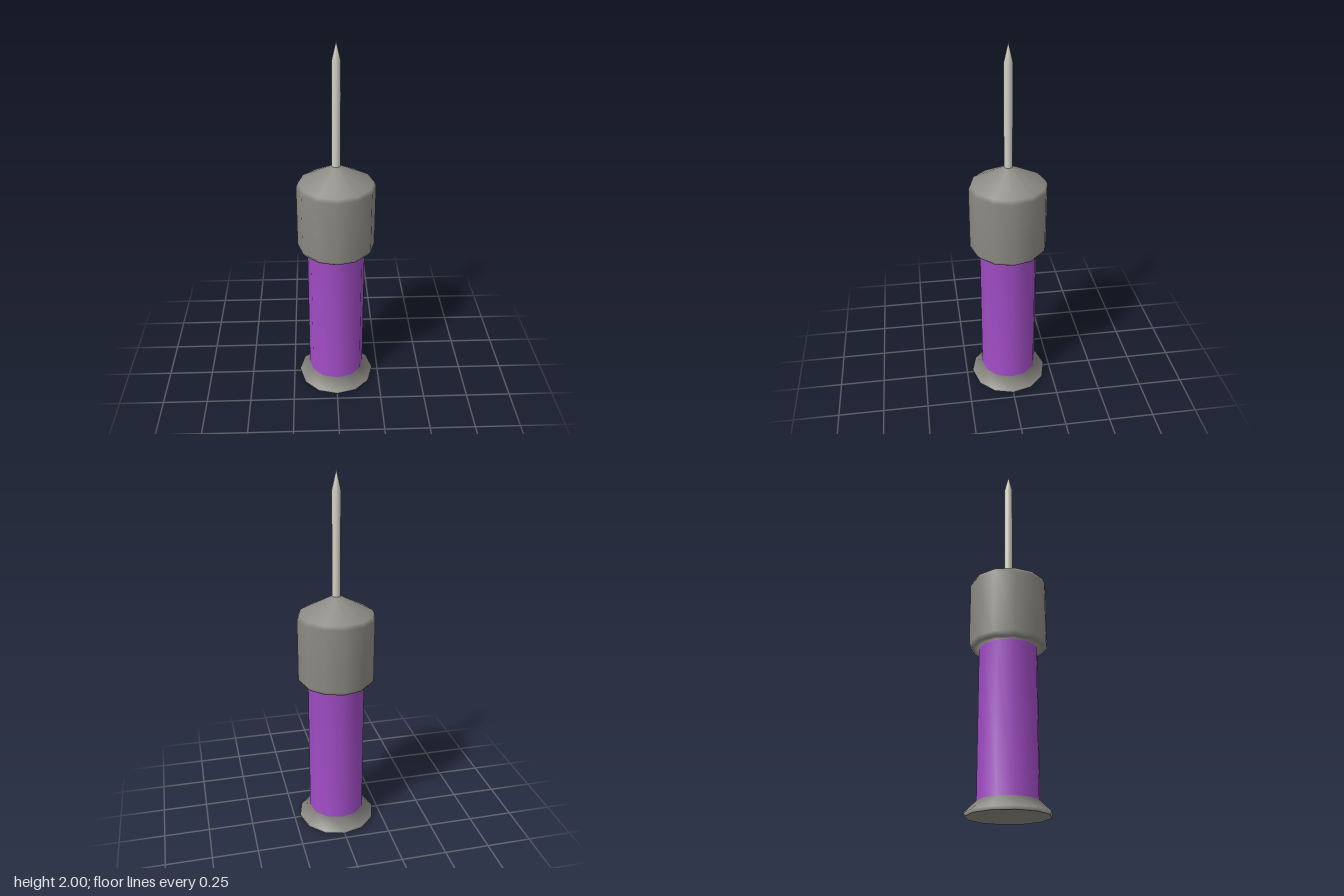
import * as THREE from 'three';

const SIDES = 12;

// Lathe from [radius, height] pairs, bottom to top
const lathe = (profile) =>
  new THREE.LatheGeometry(profile.map(([r, y]) => new THREE.Vector2(r, y)), SIDES);

// Keep only the profile bands from..to of a lathe, so neighbours share smooth normals
function bands(geometry, count, from, to) {
  const part = geometry.clone();
  const perSide = (count - 1) * 6;
  const kept = Array.from(geometry.index.array).filter((_, i) => {
    const band = Math.floor((i % perSide) / 6);
    return band >= from && band < to;
  });
  part.setIndex(kept);
  return part;
}

export function createModel() {
  const grey = new THREE.MeshStandardMaterial({ color: 0x8c8a84 });
  grey.name = 'warm grey';
  const purple = new THREE.MeshStandardMaterial({ color: 0xa04cc4 });
  purple.name = 'purple';
  const steel = new THREE.MeshStandardMaterial({ color: 0xd0d0c4 });
  steel.name = 'pale steel';

  const model = new THREE.Group();
  model.name = 'spikedHandle';
  const add = (name, geometry, material) => {
    const mesh = new THREE.Mesh(geometry, material);
    mesh.name = name;
    model.add(mesh);
    return mesh;
  };

  // Continuous silhouette of foot, grip and head
  const profile = [
    [0.212, 0], [0.217, 0.017], [0.157, 0.075],
    [0.157, 0.87],
    [0.192, 0.872], [0.21, 0.895], [0.21, 1.24], [0.2, 1.262], [0.022, 1.357],
  ];
  const body = lathe(profile);
  add('foot', bands(body, profile.length, 0, 2), grey);
  add('grip', bands(body, profile.length, 2, 3), purple);
  add('head', bands(body, profile.length, 3, 8), grey);

  // Flat underside of the foot
  const sole = add('footUnderside', new THREE.CircleGeometry(0.212, SIDES), grey);
  sole.rotation.x = Math.PI / 2;

  // Needle with a pointed tip
  add('needle', lathe([[0.023, 1.34], [0.023, 1.9], [0, 2]]), steel);

  return model;
}
